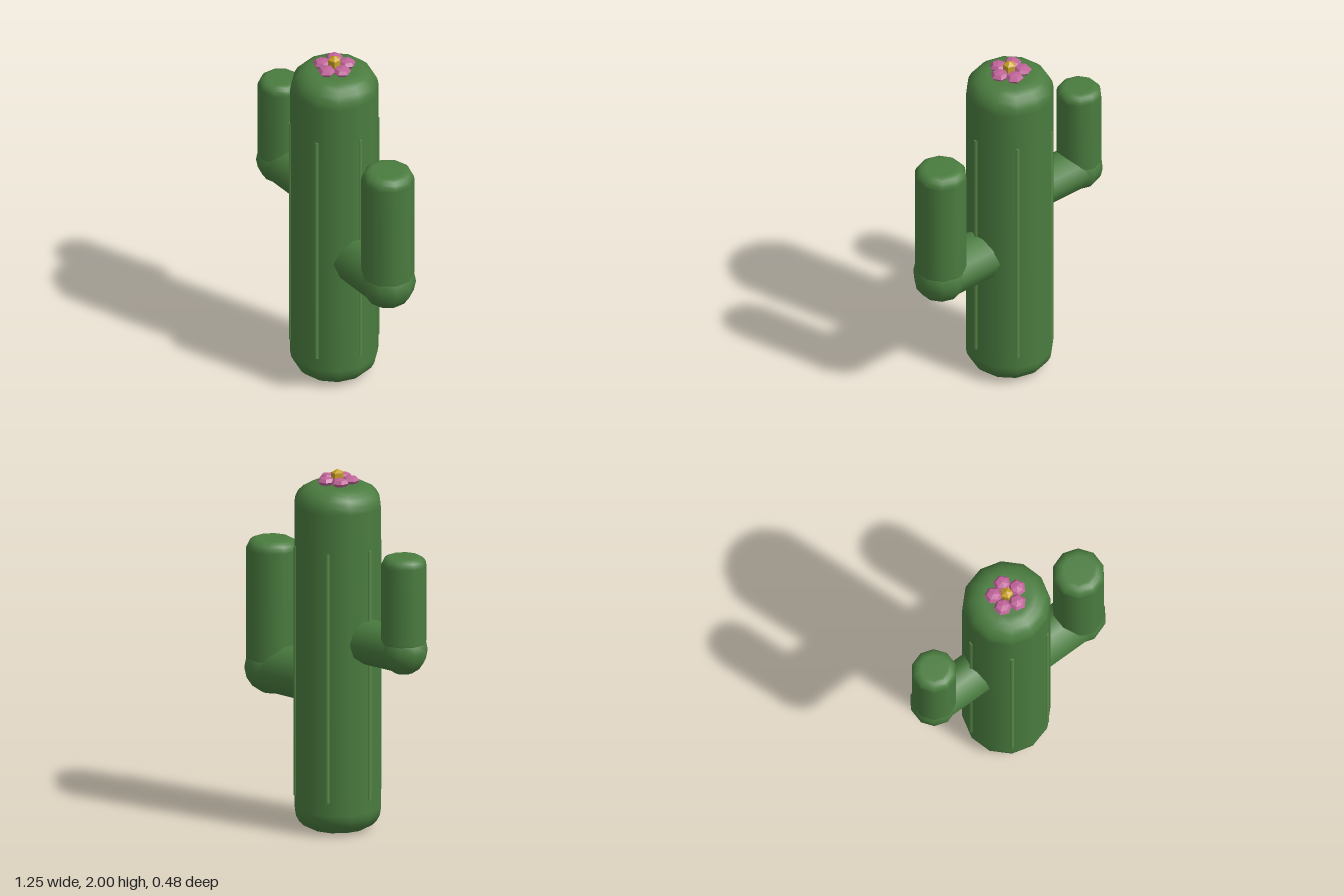
import * as THREE from 'three';

const green = new THREE.MeshStandardMaterial({ color: 0x4a7c3f });
const ribGreen = new THREE.MeshStandardMaterial({ color: 0x5a8c4a });
const pink = new THREE.MeshStandardMaterial({ color: 0xc0649a, flatShading: true });
const yellow = new THREE.MeshStandardMaterial({ color: 0xc9a227, flatShading: true });

function add(parent, name, geometry, material, x = 0, y = 0, z = 0) {
  const mesh = new THREE.Mesh(geometry, material);
  mesh.name = name;
  mesh.position.set(x, y, z);
  parent.add(mesh);
  return mesh;
}

// Upright column with rounded rims and flat ends
function roundedColumn(radius, bottom, top, bevel, sides) {
  const points = [new THREE.Vector2(0, bottom)];
  const steps = 5;
  for (const end of [-1, 1]) {
    for (let i = 0; i <= steps; i++) {
      const a = (end < 0 ? i - steps : i) / steps * Math.PI / 2;
      const cy = end < 0 ? bottom + bevel : top - bevel;
      points.push(new THREE.Vector2(radius - bevel + bevel * Math.cos(a), cy + bevel * Math.sin(a)));
    }
  }
  points.push(new THREE.Vector2(0, top));
  return new THREE.LatheGeometry(points, sides);
}

// Arm: horizontal stub, elbow ball and upright branch
function makeArm(name, x, y, top, radius, elbowRadius) {
  const arm = new THREE.Group();
  arm.name = name;
  const inner = Math.sign(x) * 0.12;
  const stub = add(arm, 'armStub', new THREE.CylinderGeometry(radius, radius, Math.abs(x - inner), 10),
    green, (x + inner) / 2, y, 0);
  stub.rotation.z = Math.PI / 2;
  const elbow = add(arm, 'elbow', new THREE.SphereGeometry(elbowRadius, 10, 8), green, x, y, 0);
  elbow.rotation.y = Math.PI / 2;
  add(arm, 'armBranch', roundedColumn(radius * 1.01, y, top, radius * 0.42, 10), green, x, 0, 0);
  return arm;
}

export function createModel() {
  const cactus = new THREE.Group();
  cactus.name = 'cactus';

  // Trunk with six thin ribs
  const trunk = new THREE.Group();
  trunk.name = 'trunk';
  trunk.position.x = -0.01;
  cactus.add(trunk);
  add(trunk, 'trunkBody', roundedColumn(0.24, 0, 1.92, 0.12, 12), green);
  const ribGeometry = new THREE.CylinderGeometry(0.012, 0.012, 1.39, 6);
  for (let i = 0; i < 6; i++) {
    const a = i * Math.PI / 3;
    add(trunk, 'rib', ribGeometry, ribGreen, 0.235 * Math.cos(a), 0.89, 0.235 * Math.sin(a));
  }

  // Arms
  cactus.add(makeArm('leftArm', 0.477, 0.81, 1.525, 0.142, 0.152));
  cactus.add(makeArm('rightArm', -0.5, 1.077, 1.605, 0.123, 0.132));

  // Flower on the crown
  const flower = new THREE.Group();
  flower.name = 'flower';
  flower.position.x = -0.01;
  cactus.add(flower);
  const petalGeometry = new THREE.SphereGeometry(0.05, 6, 4);
  petalGeometry.scale(1, 0.5, 1);
  for (let i = 0; i < 5; i++) {
    const a = i * Math.PI * 2 / 5;
    const petal = add(flower, 'petal', petalGeometry, pink, 0.07 * Math.cos(a), 1.94, -0.07 * Math.sin(a));
    petal.rotation.y = a;
  }
  add(flower, 'flowerCentre', new THREE.SphereGeometry(0.04, 5, 3), yellow, 0, 1.96, 0);

  return cactus;
}
